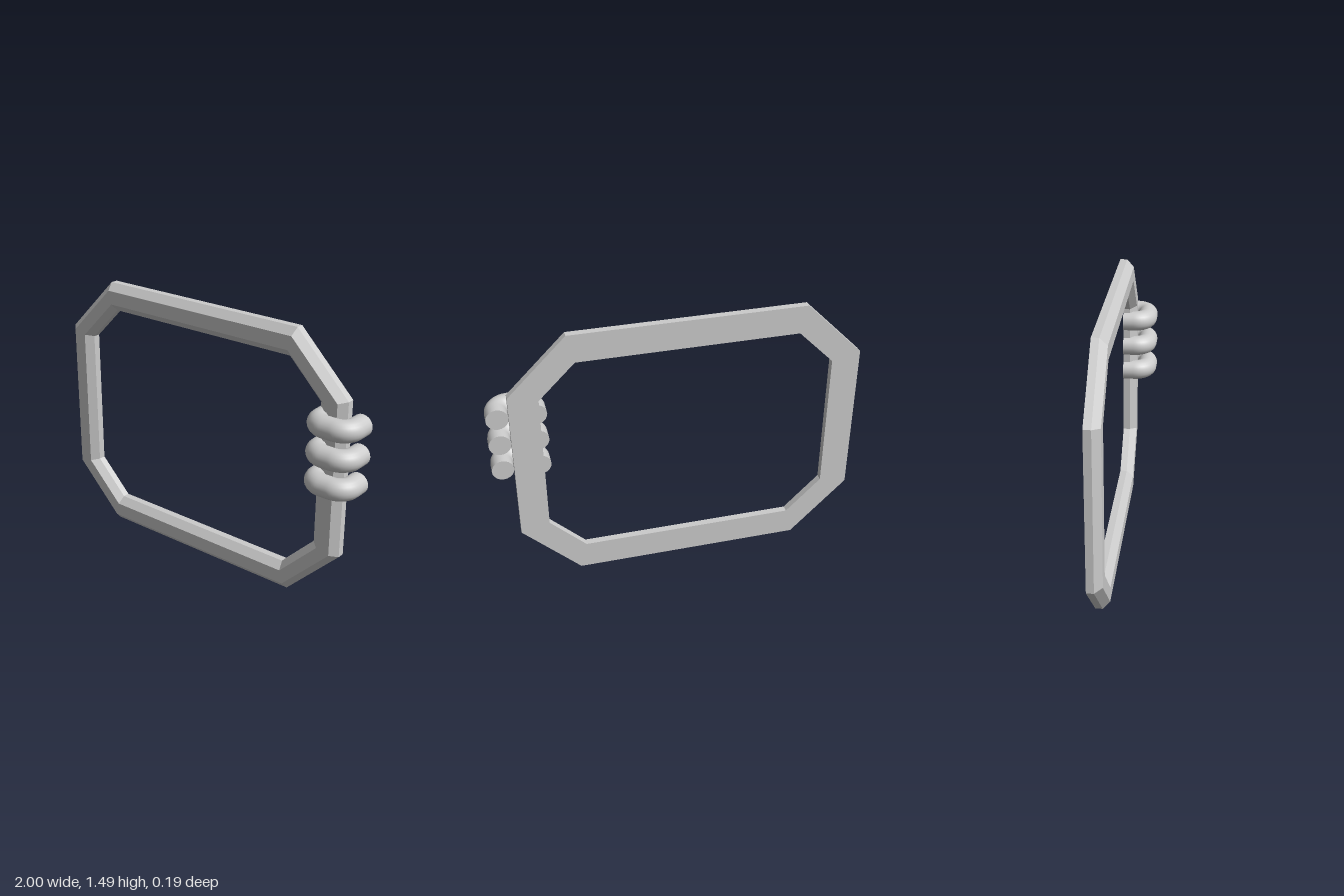
import * as THREE from 'three';

const BACK = -0.097;

// Closed octagonal bar: one chamfered cross-section carried round eight corners
function frameGeometry() {
  const cx = -0.06, cy = 0.745, w = 0.94, h = 0.745, cut = 0.313, slip = 0.24;
  // [inset from the outer edge, z]
  const profile = [[0, BACK], [0, -0.058], [0.04, -0.02], [0.116, -0.02], [0.156, -0.058], [0.156, BACK]];
  const corner = (i, [d, z]) => {
    const quarter = Math.floor(i / 2);
    const sx = quarter === 0 || quarter === 3 ? 1 : -1;
    const sy = quarter < 2 ? 1 : -1;
    const onSide = i % 4 === 0 || i % 4 === 3; // corner at the end of a vertical bar
    const x = onSide ? w - d : w - cut - slip * d;
    const y = onSide ? h - cut - slip * d : h - d;
    return [cx + sx * x, cy + sy * y, z];
  };
  const pos = [];
  for (let i = 0; i < 8; i++) {
    const n = (i + 1) % 8;
    profile.forEach((p, j) => {
      const q = profile[(j + 1) % profile.length];
      const a = corner(i, p), b = corner(n, p), c = corner(n, q), d = corner(i, q);
      pos.push(...a, ...b, ...c, ...a, ...c, ...d);
    });
  }
  const g = new THREE.BufferGeometry();
  g.setAttribute('position', new THREE.Float32BufferAttribute(pos, 3));
  g.computeVertexNormals();
  return g;
}

// U-shaped path of a grip ring, from the back round the front of the bar
function gripPath() {
  const xl = 0.744, xr = 0.939, zf = 0.039, r = 0.07, k = r * 0.448;
  const v = (x, z) => new THREE.Vector3(x, 0, z);
  const path = new THREE.CurvePath();
  path.add(new THREE.LineCurve3(v(xl, BACK), v(xl, zf - r)));
  path.add(new THREE.CubicBezierCurve3(v(xl, zf - r), v(xl, zf - k), v(xl + k, zf), v(xl + r, zf)));
  path.add(new THREE.LineCurve3(v(xl + r, zf), v(xr - r, zf)));
  path.add(new THREE.CubicBezierCurve3(v(xr - r, zf), v(xr - k, zf), v(xr, zf - k), v(xr, zf - r)));
  path.add(new THREE.LineCurve3(v(xr, zf - r), v(xr, BACK)));
  return path;
}

export function createModel() {
  const model = new THREE.Group();
  const radius = 0.058;
  const flat = new THREE.MeshStandardMaterial({ color: 0xcccccc, flatShading: true });
  const smooth = new THREE.MeshStandardMaterial({ color: 0xcccccc });

  const frame = new THREE.Mesh(frameGeometry(), flat);
  frame.name = 'frame';
  model.add(frame);

  // Three rounded grip rings, their ends closed flush with the back
  const tube = new THREE.TubeGeometry(gripPath(), 40, radius, 20, false);
  const disc = new THREE.CircleGeometry(radius, 20);
  [0.747, 0.904, 1.061].forEach((y, i) => {
    const grip = new THREE.Group();
    grip.name = `gripRing${i + 1}`;
    grip.position.y = y;
    grip.add(new THREE.Mesh(tube, smooth));
    for (const x of [0.744, 0.939]) {
      const cap = new THREE.Mesh(disc, flat);
      cap.name = 'gripEnd';
      cap.position.set(x, 0, BACK);
      cap.rotation.y = Math.PI;
      grip.add(cap);
    }
    model.add(grip);
  });
  return model;
}
